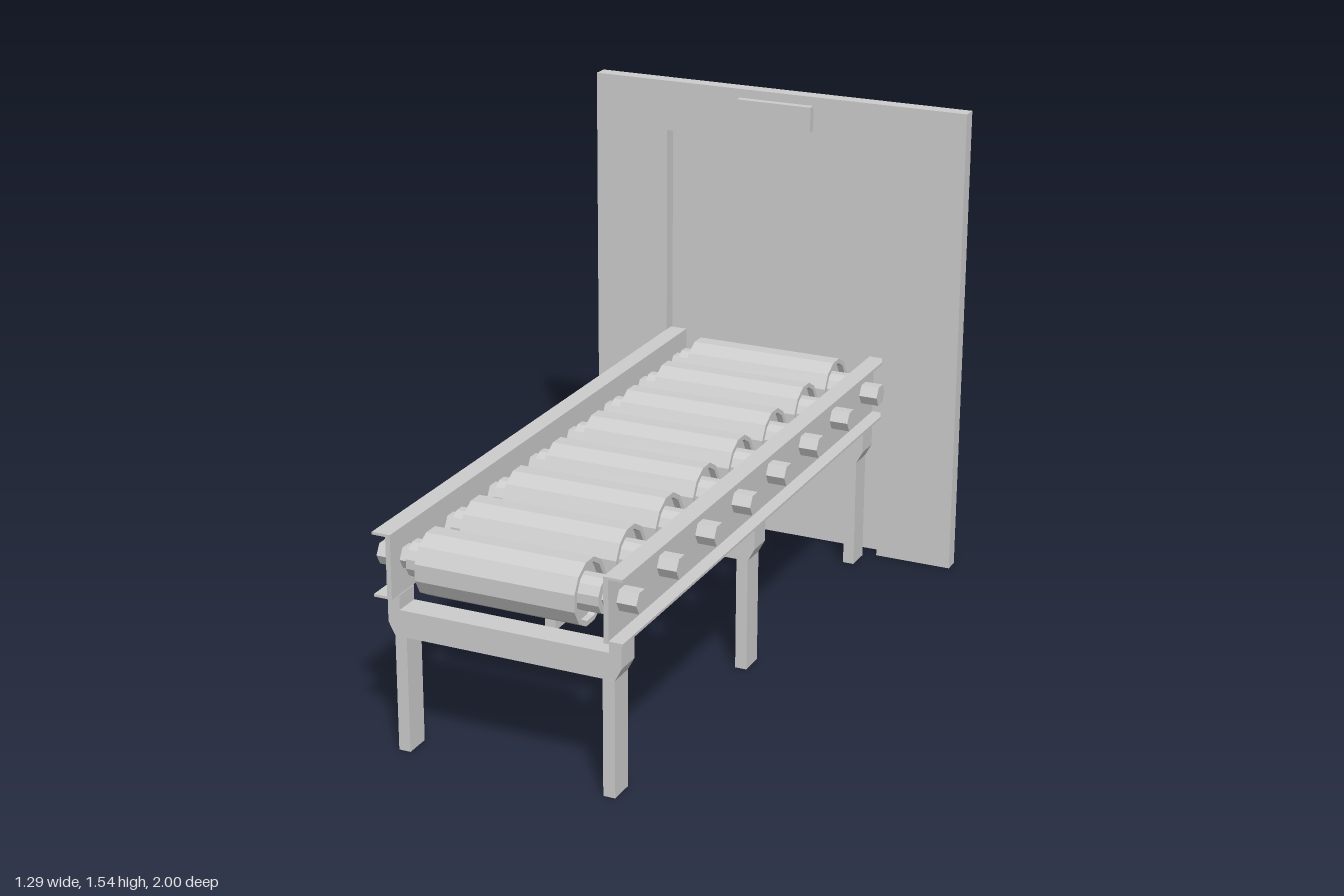
import * as THREE from 'three';

const material = new THREE.MeshStandardMaterial({ color: 0xcccccc, flatShading: true });

function add(parent, name, geometry, x = 0, y = 0, z = 0) {
  const mesh = new THREE.Mesh(geometry, material);
  mesh.name = name;
  mesh.position.set(x, y, z);
  parent.add(mesh);
  return mesh;
}

// Straight extrusion of an x/y outline, starting at z = 0
function extrude(points, depth) {
  const shape = new THREE.Shape(points.map(([x, y]) => new THREE.Vector2(x, y)));
  return new THREE.ExtrudeGeometry(shape, { depth, bevelEnabled: false });
}

// Outline of the +x half followed by its mirror image
const mirrored = (half) => [...half, ...half.slice().reverse().map(([x, y]) => [-x, y])];

// Lay a vertical solid along x, turning it about its own axis first
const alongX = (geometry, turn = 0) => geometry.rotateY(turn).rotateZ(Math.PI / 2);

function createRollerParts() {
  const flat = Math.PI / 12;
  // Drum with shallow recessed ends
  const profile = [
    [0.04, -0.228], [0.083, -0.228], [0.083, -0.248], [0.098, -0.248],
    [0.098, 0.248], [0.083, 0.248], [0.083, 0.228], [0.04, 0.228],
  ].map(([r, y]) => new THREE.Vector2(r, y));
  return {
    rollerDrum: alongX(new THREE.LatheGeometry(profile, 12), flat),
    rollerHub: alongX(new THREE.CylinderGeometry(0.055, 0.055, 0.6, 12), flat),
    rollerAxle: alongX(new THREE.CylinderGeometry(0.036, 0.036, 0.81, 6)),
  };
}

export function createModel() {
  const model = new THREE.Group();
  model.name = 'rollerConveyor';

  // End wall: frame around a doorway, closed by a thin sheet at the back
  const wall = new THREE.Group();
  wall.name = 'endWall';
  model.add(wall);
  const frame = mirrored([[0.387, 0], [0.643, 0], [0.643, 1.54]]);
  frame.push([-0.387, 0], [-0.387, 1.375], [0.387, 1.375]);
  // Reorder so the outline runs around the outside, then around the doorway
  add(wall, 'doorFrame', extrude(
    frame.filter((p, i) => i !== 5 - 0 || p[0] !== -0.387), 0.05), 0, 0, -1);
  add(wall, 'doorSheet', new THREE.BoxGeometry(0.78, 1.38, 0.004), 0, 0.69, -0.998);
  add(wall, 'signPlate', new THREE.BoxGeometry(0.256, 0.082, 0.025), 0, 1.47, -0.9375);

  // Side rails: C-channels opening outwards
  const channel = [
    [0.33, 0.487], [0.388, 0.487], [0.388, 0.495], [0.345, 0.495],
    [0.345, 0.676], [0.388, 0.676], [0.388, 0.684], [0.33, 0.684],
  ];
  for (const [side, name] of [[1, 'leftRail'], [-1, 'rightRail']]) {
    add(model, name, extrude(channel.map(([x, y]) => [x * side, y]), 1.973), 0, 0, -0.985);
  }

  // Rollers
  const parts = createRollerParts();
  for (let i = 0; i < 8; i++) {
    const roller = new THREE.Group();
    roller.name = 'roller';
    roller.position.set(0, 0.59, 0.903 - i * 0.257);
    for (const [name, geometry] of Object.entries(parts)) add(roller, name, geometry);
    model.add(roller);
  }

  // Leg frames: two cranked legs joined by a crossbeam
  const legFrame = extrude(mirrored([
    [0.308, 0.36], [0.308, 0], [0.345, 0], [0.345, 0.36],
    [0.366, 0.4], [0.366, 0.487], [0.328, 0.487], [0.328, 0.442],
  ]), 0.082);
  for (const z of [0.91, 0, -0.89]) add(model, 'legFrame', legFrame, 0, 0, z - 0.041);

  return model;
}
